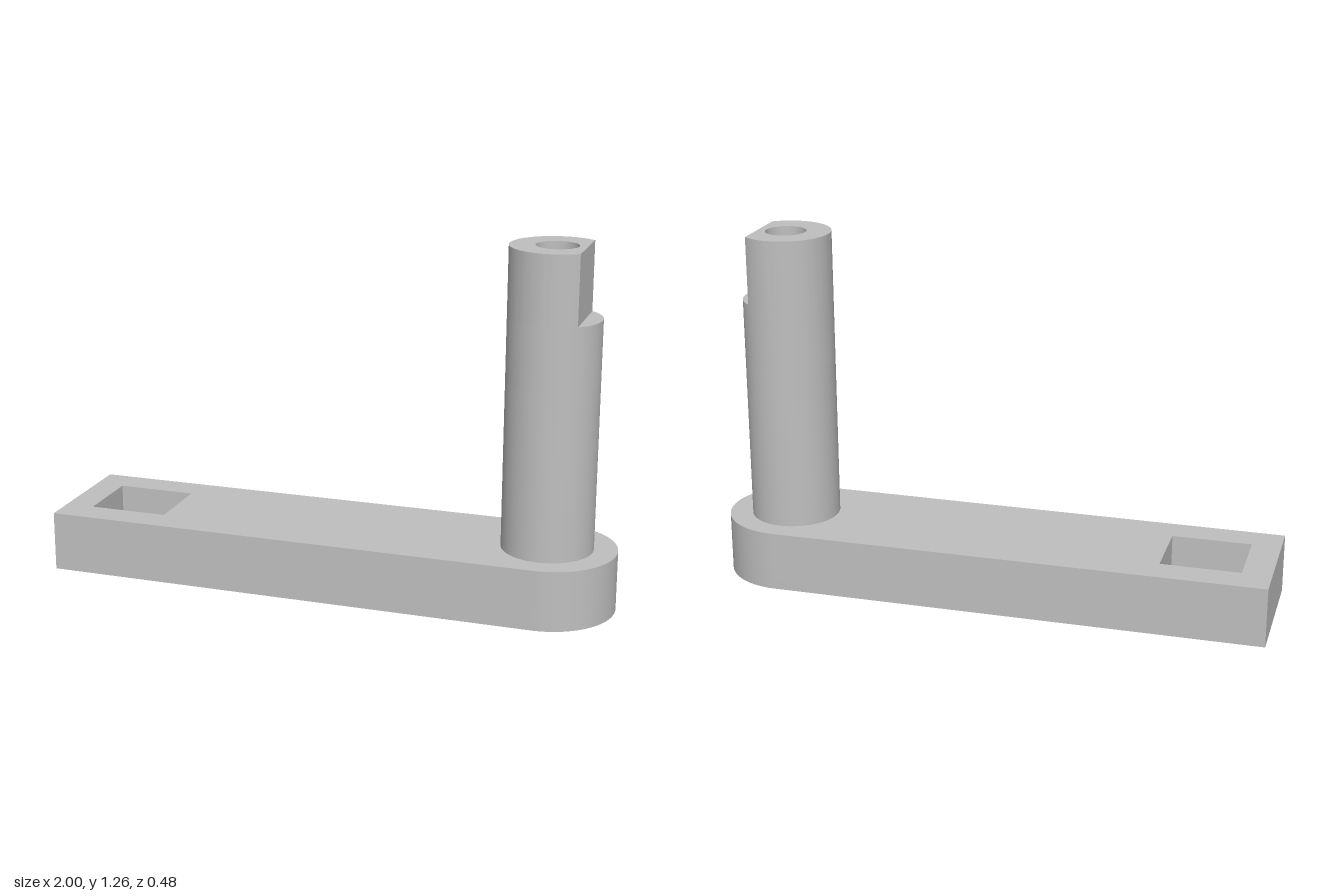
import * as THREE from 'three';
import { toCreasedNormals } from 'three/addons/utils/BufferGeometryUtils.js';

const ARM_TOP = 0.213, FLAT_BOTTOM = 1.02, POST_TOP = 1.26, BORE_BOTTOM = 0.8;
const PIN_X = 0.762, ARM_R = 0.238, POST_R = 0.159, BORE_R = 0.072, FLAT = 0.1;

// Extrude a plan outline upward between two heights
function slab(name, shape, bottom, top, material) {
  const extruded = new THREE.ExtrudeGeometry(shape, {
    depth: top - bottom, bevelEnabled: false, curveSegments: 40,
  });
  extruded.rotateX(-Math.PI / 2).translate(0, bottom, 0);
  const mesh = new THREE.Mesh(toCreasedNormals(extruded, 0.6), material);
  mesh.name = name;
  return mesh;
}

// Round outline, optionally cut by a flat on the +x side
function round(radius, cutAngle = 0) {
  const shape = new THREE.Shape();
  shape.absarc(0, 0, radius, cutAngle, Math.PI * 2 - cutAngle, false);
  shape.closePath();
  return shape;
}

function withBore(shape) {
  shape.holes.push(new THREE.Path().absarc(0, 0, BORE_R, 0, Math.PI * 2, true));
  return shape;
}

export function createModel() {
  const group = new THREE.Group();
  group.name = 'crankArm';
  const steel = new THREE.MeshStandardMaterial({ color: 0xbfbfbf });
  steel.name = 'steel grey';

  // Arm: square at one end, rounded at the other, with a square through hole
  const outline = new THREE.Shape();
  outline.moveTo(-1, -0.234);
  outline.lineTo(PIN_X, -ARM_R);
  outline.absarc(PIN_X, 0, ARM_R, -Math.PI / 2, Math.PI / 2, false);
  outline.lineTo(-1, 0.234);
  outline.closePath();
  const hole = new THREE.Path();
  hole.moveTo(-0.897, -0.125);
  hole.lineTo(-0.897, 0.125);
  hole.lineTo(-0.615, 0.125);
  hole.lineTo(-0.615, -0.125);
  hole.closePath();
  outline.holes.push(hole);
  group.add(slab('arm', outline, 0, ARM_TOP, steel));

  // Post: solid shank, bored section, then a bored tip with one flat
  const post = new THREE.Group();
  post.name = 'post';
  post.position.x = PIN_X - 0.003;
  post.add(
    slab('shank', round(POST_R), ARM_TOP, BORE_BOTTOM, steel),
    slab('boredShank', withBore(round(POST_R)), BORE_BOTTOM, FLAT_BOTTOM, steel),
    slab('flattenedTip', withBore(round(POST_R, Math.acos(FLAT / POST_R))), FLAT_BOTTOM, POST_TOP, steel),
  );
  group.add(post);
  return group;
}
